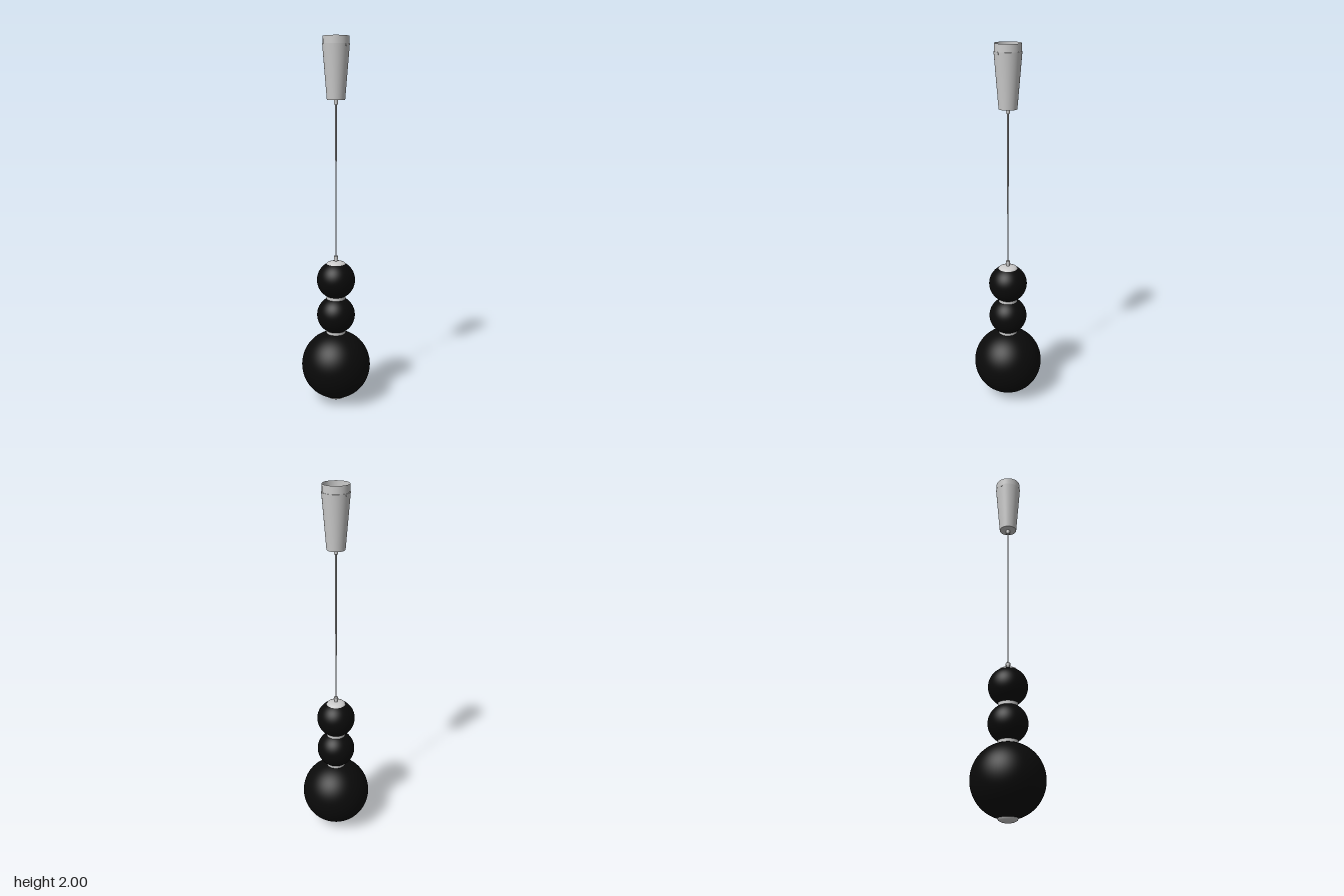
import * as THREE from 'three';

const metal = new THREE.MeshStandardMaterial({ color: 0xcccccc, side: THREE.DoubleSide });
const black = new THREE.MeshStandardMaterial({ color: 0x0a0a0a, side: THREE.DoubleSide });

export function createModel() {
  const group = new THREE.Group();

  const add = (name, geometry, material, y = 0) => {
    const mesh = new THREE.Mesh(geometry, material);
    mesh.name = name;
    mesh.position.y = y;
    group.add(mesh);
    return mesh;
  };
  const cylinder = (name, rTop, rBottom, y0, y1, open = false) =>
    add(name, new THREE.CylinderGeometry(rTop, rBottom, y1 - y0, 48, 1, open), metal, (y0 + y1) / 2);

  // Globe truncated at both poles where it meets a disc of radius 0.052
  const globe = (name, r, y) => {
    const cut = Math.asin(0.052 / r);
    add(name, new THREE.SphereGeometry(r, 64, 48, 0, Math.PI * 2, cut, Math.PI - 2 * cut), black, y);
  };
  globe('largeGlobe', 0.191, 0.209);
  globe('lowerSmallGlobe', 0.105, 0.5);
  globe('upperSmallGlobe', 0.105, 0.7);

  // Spacer discs between the globes
  cylinder('lowerSpacer', 0.052, 0.052, 0.39, 0.411);
  cylinder('upperSpacer', 0.052, 0.052, 0.589, 0.611);

  // Shallow domed caps at the two ends of the stack
  const dome = [[0.052, 0], [0.048, 0.007], [0.034, 0.012], [0.017, 0.015], [0, 0.016]]
    .map(([x, y]) => new THREE.Vector2(x, y));
  add('topCap', new THREE.LatheGeometry(dome, 48), metal, 0.791);
  add('bottomCap', new THREE.LatheGeometry(dome, 48), metal, 0.025).scale.y = -1.5;

  // Suspension cable with a ferrule at each end
  cylinder('cable', 0.004, 0.004, 0.8, 1.68);
  cylinder('lowerFerrule', 0.009, 0.009, 0.8, 0.82);
  cylinder('lowerFerruleHead', 0.012, 0.012, 0.818, 0.835);
  cylinder('upperFerrule', 0.011, 0.011, 1.652, 1.677);

  // Tapered ceiling canopy with a recessed top collar
  cylinder('canopyBody', 0.0715, 0.048, 1.675, 1.96);
  cylinder('canopyCollar', 0.0685, 0.0685, 1.955, 2, true);
  cylinder('canopyTopPlate', 0.0685, 0.0685, 1.965, 1.972);

  // Small fixing screws on both sides of the canopy
  for (const side of [1, -1]) {
    const screw = cylinder('canopyScrew', 0.006, 0.006, 0, 0.01);
    screw.rotation.z = Math.PI / 2;
    screw.position.set(side * 0.068, 1.953, 0);
  }
  return group;
}
